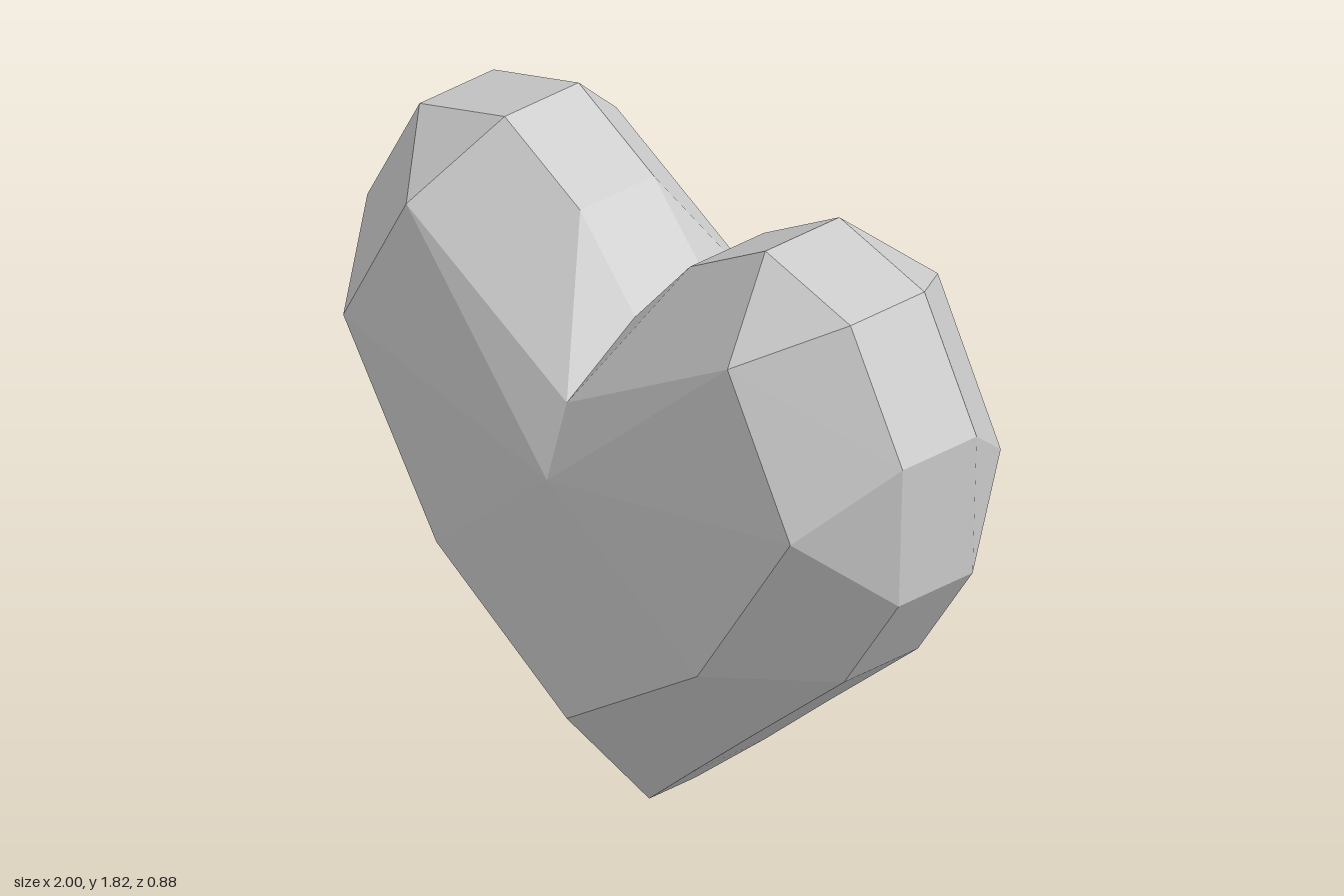
import * as THREE from 'three';

// Half outline of the heart, from the notch round to the tip: x, y, z
const rim = [
  [0, 1.43, 0.13], [0.205, 1.66, 0.13], [0.487, 1.82, 0.13], [0.805, 1.73, 0.13], [1, 1.385, 0.13],
  [0.985, 0.98, 0.13], [0.78, 0.675, 0.13], [0.44, 0.382, 0.13], [0.21, 0.18, 0.13], [0, 0, 0.08],
];
// Raised inner ring, from below the notch to above the tip
const ring = [
  [0, 1.27, 0.37], [0.6, 1.61, 0.37], [0.835, 1.19, 0.37], [0.487, 0.665, 0.37], [0, 0.345, 0.37],
];
const peak = [0, 1.07, 0.44];

// Mirrors one quarter of facets into all four quarters, keeping them outward
function facetedMesh(name, facets) {
  const positions = [];
  for (const sx of [1, -1]) {
    for (const sz of [1, -1]) {
      for (const facet of facets) {
        const corners = facet.map(([x, y, z]) => [x * sx, y, z * sz]);
        if (sx * sz < 0) corners.reverse();
        for (let i = 1; i < corners.length - 1; i++) {
          positions.push(...corners[0], ...corners[i], ...corners[i + 1]);
        }
      }
    }
  }
  const geometry = new THREE.BufferGeometry();
  geometry.setAttribute('position', new THREE.Float32BufferAttribute(positions, 3));
  geometry.computeVertexNormals();
  const mesh = new THREE.Mesh(geometry, new THREE.MeshStandardMaterial({ color: 0xcccccc, flatShading: true }));
  mesh.name = name;
  return mesh;
}

export function createModel() {
  const group = new THREE.Group();
  group.name = 'heart';

  // Shallow domed faces: a fan from the peak to the ring
  const dome = [];
  for (let i = 0; i < ring.length - 1; i++) dome.push([peak, ring[i + 1], ring[i]]);
  group.add(facetedMesh('domedFaces', dome));

  // Bevels: each ring corner spans a run of the rim, joined by strips
  const runs = [[0, 1], [2, 3], [4, 5], [6, 7], [8, 9]];
  const bevel = [];
  runs.forEach(([a, b], i) => {
    bevel.push([ring[i], rim[b], rim[a]]);
    if (i < ring.length - 1) bevel.push([ring[i], ring[i + 1], rim[b + 1], rim[b]]);
  });
  group.add(facetedMesh('bevels', bevel));

  // Flat edge band, each quarter reaching the middle plane
  const band = [];
  for (let i = 0; i < rim.length - 1; i++) {
    const [p, q] = [rim[i], rim[i + 1]];
    band.push([p, q, [q[0], q[1], 0], [p[0], p[1], 0]]);
  }
  group.add(facetedMesh('edgeBand', band));

  return group;
}
